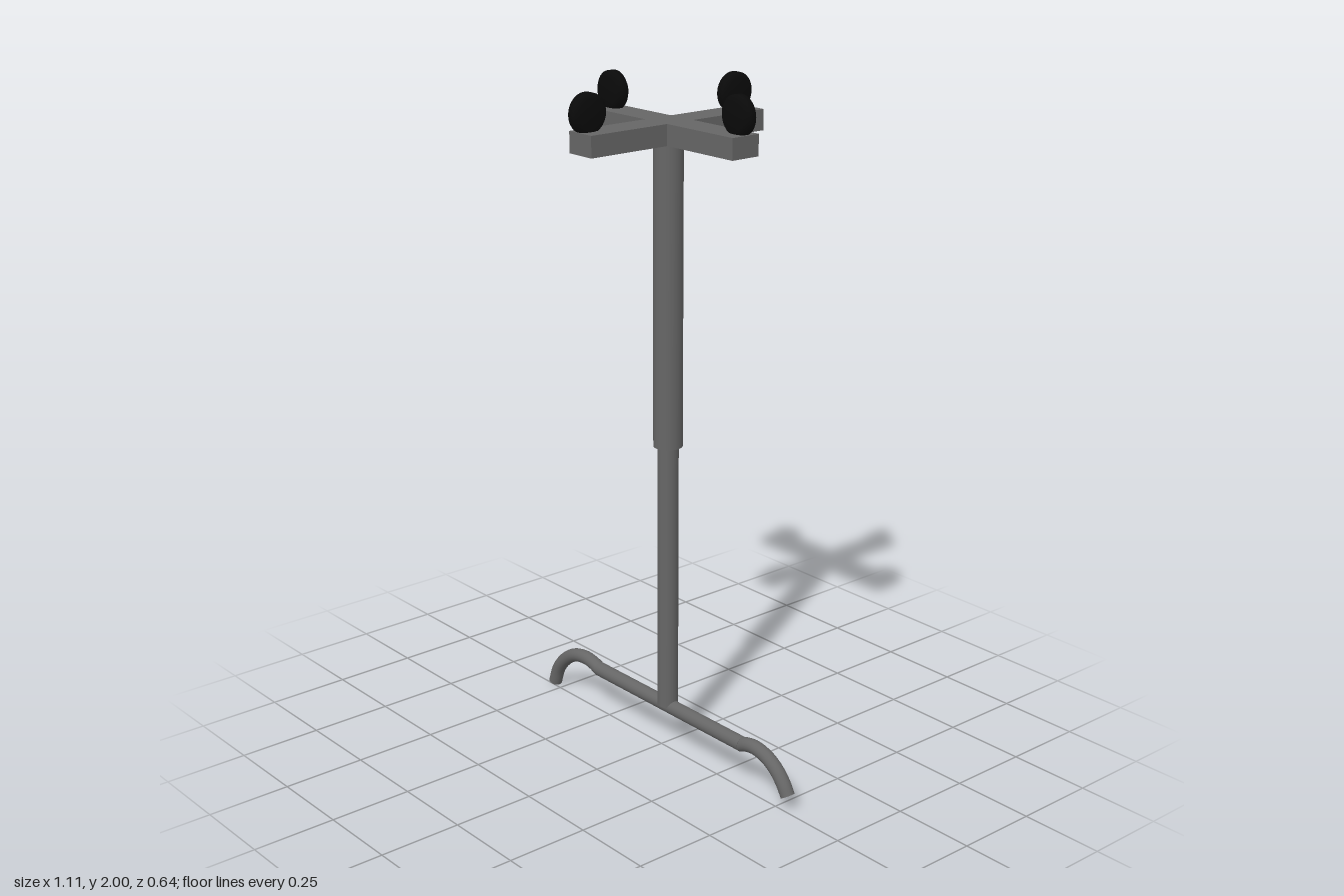
import * as THREE from 'three';

const PX = 0.0145, PZ = -0.012; // pole axis

export function createModel() {
  const group = new THREE.Group();
  const steel = new THREE.MeshStandardMaterial({ color: 0x666666 });
  const rubber = new THREE.MeshStandardMaterial({ color: 0x0a0a0a });

  const add = (name, geometry, material, x, y, z) => {
    const mesh = new THREE.Mesh(geometry, material);
    mesh.name = name;
    mesh.position.set(x, y, z);
    group.add(mesh);
    return mesh;
  };

  // Telescoping pole
  const pole = (name, r, y0, y1) =>
    add(name, new THREE.CylinderGeometry(r, r, y1 - y0, 32), steel, PX, (y0 + y1) / 2, PZ);
  pole('lowerPole', 0.031, 0.138, 0.96);
  pole('upperPole', 0.0425, 0.957, 1.845);

  // Cross-shaped wheel base
  const h = 0.0465, L = 0.308;
  const cross = new THREE.Shape([
    [-L, -h], [-h, -h], [-h, -L], [h, -L], [h, -h], [L, -h],
    [L, h], [h, h], [h, L], [-h, L], [-h, h], [-L, h],
  ].map(([x, y]) => new THREE.Vector2(x, y)));
  const crossGeometry = new THREE.ExtrudeGeometry(cross, { depth: 0.06, bevelEnabled: false });
  crossGeometry.rotateX(-Math.PI / 2);
  add('wheelBase', crossGeometry, steel, 0.0175, 1.838, PZ);

  // Four bevelled wheels, each rolling along its arm
  const tyre = new THREE.LatheGeometry([
    [0, -0.022], [0.042, -0.022], [0.056, -0.01], [0.056, 0.01], [0.042, 0.022], [0, 0.022],
  ].map(([x, y]) => new THREE.Vector2(x, y)), 28);
  for (const [x, z, alongX] of [
    [-0.233, -0.019, true], [0.29, -0.019, true],
    [0.008, 0.264, false], [0.008, -0.26, false],
  ]) {
    const wheel = add('wheel', tyre, rubber, x, 1.946, z);
    if (alongX) wheel.rotation.x = Math.PI / 2;
    else wheel.rotation.z = Math.PI / 2;
  }

  // Straight handlebar
  const bar = new THREE.CylinderGeometry(0.022, 0.022, 0.655, 24);
  bar.rotateZ(Math.PI / 2);
  add('crossBar', bar, steel, 0.0175, 0.133, PZ);

  // Curved, drooping grips with capped ends
  const grip = (name, points) => {
    const r = 0.021;
    const curve = new THREE.CatmullRomCurve3(points.map(([x, y]) => new THREE.Vector3(x, y, 0)));
    add(name, new THREE.TubeGeometry(curve, 32, r, 20), steel, 0, 0, PZ);
    for (const t of [0, 1]) {
      const cap = add(name + 'Cap', new THREE.CircleGeometry(r, 20), steel, 0, 0, PZ);
      const p = curve.getPointAt(t);
      cap.position.x = p.x;
      cap.position.y = p.y;
      const outward = curve.getTangentAt(t).multiplyScalar(t ? 1 : -1);
      cap.quaternion.setFromUnitVectors(new THREE.Vector3(0, 0, 1), outward);
    }
  };
  grip('rightGrip', [[-0.305, 0.13], [-0.343, 0.143], [-0.385, 0.147], [-0.437, 0.135],
    [-0.485, 0.103], [-0.52, 0.06], [-0.539, 0.009]]);
  grip('leftGrip', [[0.338, 0.13], [0.37, 0.141], [0.403, 0.144], [0.45, 0.133],
    [0.49, 0.108], [0.518, 0.077], [0.537, 0.046]]);

  return group;
}
